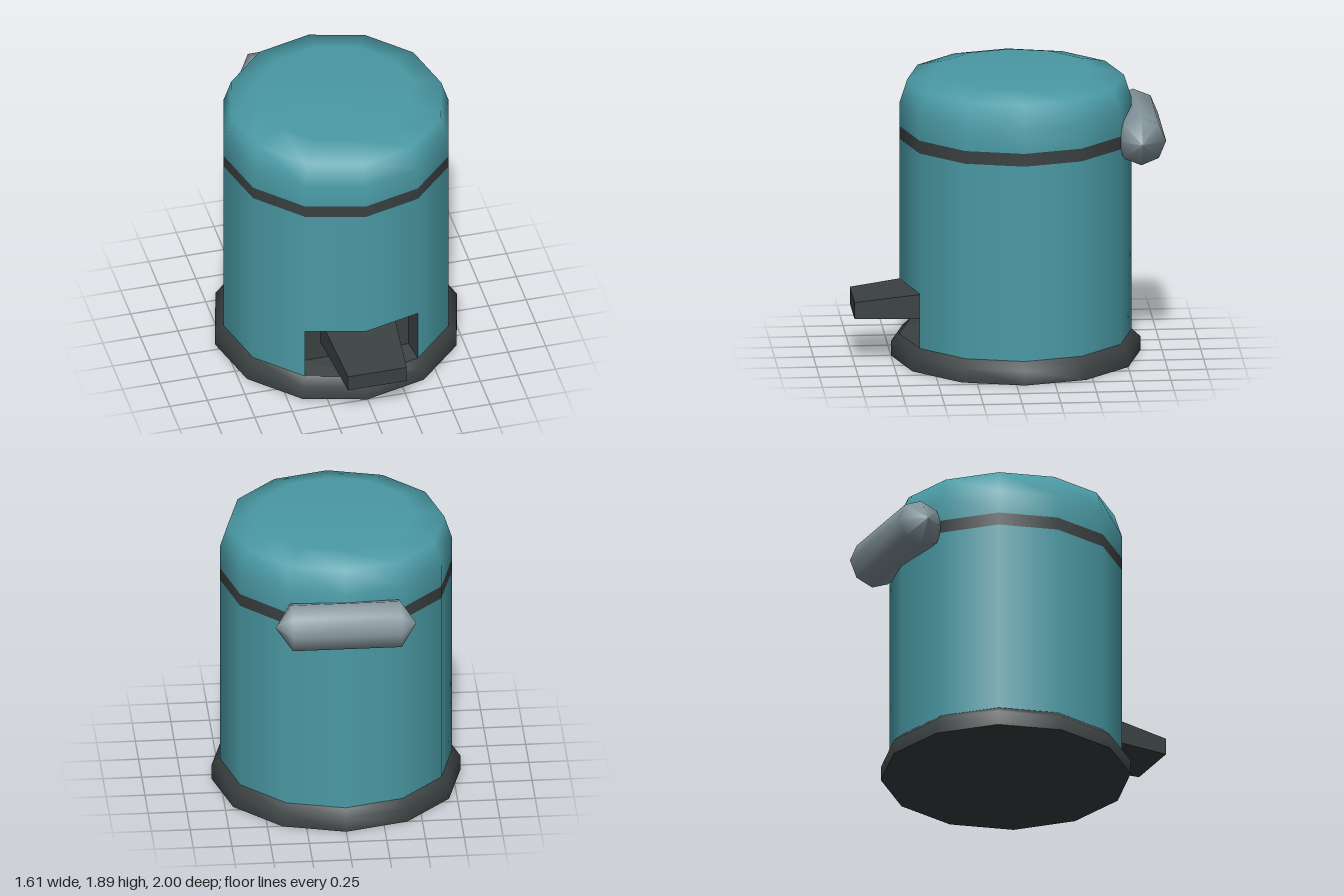
import * as THREE from 'three';

const SIDES = 12;
const R = 0.75;
const CENTRE_Z = -0.055;

const material = (name, color) => {
  const m = new THREE.MeshStandardMaterial({ color });
  m.name = name;
  return m;
};

// Fan-triangulated flat polygons, corners counter-clockwise from the visible side
function facets(polygons) {
  const pos = [];
  for (const p of polygons) {
    for (let i = 1; i < p.length - 1; i++) pos.push(...p[0], ...p[i], ...p[i + 1]);
  }
  const g = new THREE.BufferGeometry();
  g.setAttribute('position', new THREE.Float32BufferAttribute(pos, 3));
  g.computeVertexNormals();
  return g;
}

// Turned shape from [radius, height] pairs listed bottom to top
const turned = (profile, sides = SIDES, start = 0, length = Math.PI * 2) =>
  new THREE.LatheGeometry(profile.map(([r, y]) => new THREE.Vector2(r, y)), sides, start, length);

export function createModel() {
  const teal = material('teal', 0x4a9aa5);
  const dark = material('charcoal', 0x3a4040);
  const grey = material('grey', 0x84959c);

  const model = new THREE.Group();
  model.name = 'pedalBin';
  const bin = new THREE.Group();
  bin.name = 'bin';
  bin.position.z = CENTRE_Z;
  model.add(bin);

  const add = (parent, name, geometry, mat) => {
    const mesh = new THREE.Mesh(geometry, mat);
    mesh.name = name;
    parent.add(mesh);
    return mesh;
  };

  // Base ring and its underside
  add(bin, 'base', turned([[0.805, 0], [0.805, 0.095], [R, 0.145]]), dark);
  const underside = new THREE.CircleGeometry(0.805, SIDES);
  underside.rotateX(Math.PI / 2);
  add(bin, 'baseUnderside', underside, dark);

  // Body: the lower part leaves the two front sides open for the pedal
  const step = (Math.PI * 2) / SIDES;
  add(bin, 'lowerBody', turned([[R, 0.145], [R, 0.51]], SIDES - 2, step, step * (SIDES - 2)), teal);
  add(bin, 'upperBody', turned([[R, 0.51], [R, 1.445]]), teal);
  add(bin, 'rimBand', turned([[R, 1.445], [R, 1.53]]), dark);

  // Lid
  add(bin, 'lid', turned([[R, 1.53], [R, 1.685], [0.7, 1.84], [0.505, 1.89], [0, 1.89]]), teal);

  // Tapered pedal recess
  const w = R * Math.sin(step), zf = R * Math.cos(step);
  const bw = 0.345, zb = 0.525, y0 = 0.145, y1 = 0.51, b0 = 0.175, b1 = 0.48;
  const level = (y, yb) => [[-bw, yb, zb], [-w, y, zf], [0, y, R], [w, y, zf], [bw, yb, zb]];
  const side = (s) => [[s * w, y0, zf], [s * w, y1, zf], [s * bw, b1, zb], [s * bw, b0, zb]];
  add(bin, 'pedalRecess', facets([
    level(y0, b0),
    level(y1, b1).reverse(),
    side(1),
    side(-1).reverse(),
    [[-bw, b0, zb], [bw, b0, zb], [bw, b1, zb], [-bw, b1, zb]],
  ]), dark);

  // Pedal: a box narrowed and lowered towards the front
  const pedal = new THREE.BoxGeometry(1, 1, 1).toNonIndexed();
  const p = pedal.attributes.position;
  for (let i = 0; i < p.count; i++) {
    const front = p.getZ(i) > 0;
    const top = front ? 0.41 : 0.48;
    p.setXYZ(i,
      Math.sign(p.getX(i)) * (front ? 0.195 : 0.24),
      p.getY(i) > 0 ? top : 0.3,
      front ? 1 : 0.46);
  }
  pedal.computeVertexNormals();
  add(model, 'pedal', pedal, dark);

  // Rear handle with pointed ends
  const handle = turned([[0, -0.455], [0.16, -0.352], [0.16, 0.352], [0, 0.455]], 8);
  handle.rotateZ(Math.PI / 2);
  add(model, 'rearHandle', handle, grey).position.set(0, 1.49, -0.84);

  return model;
}
